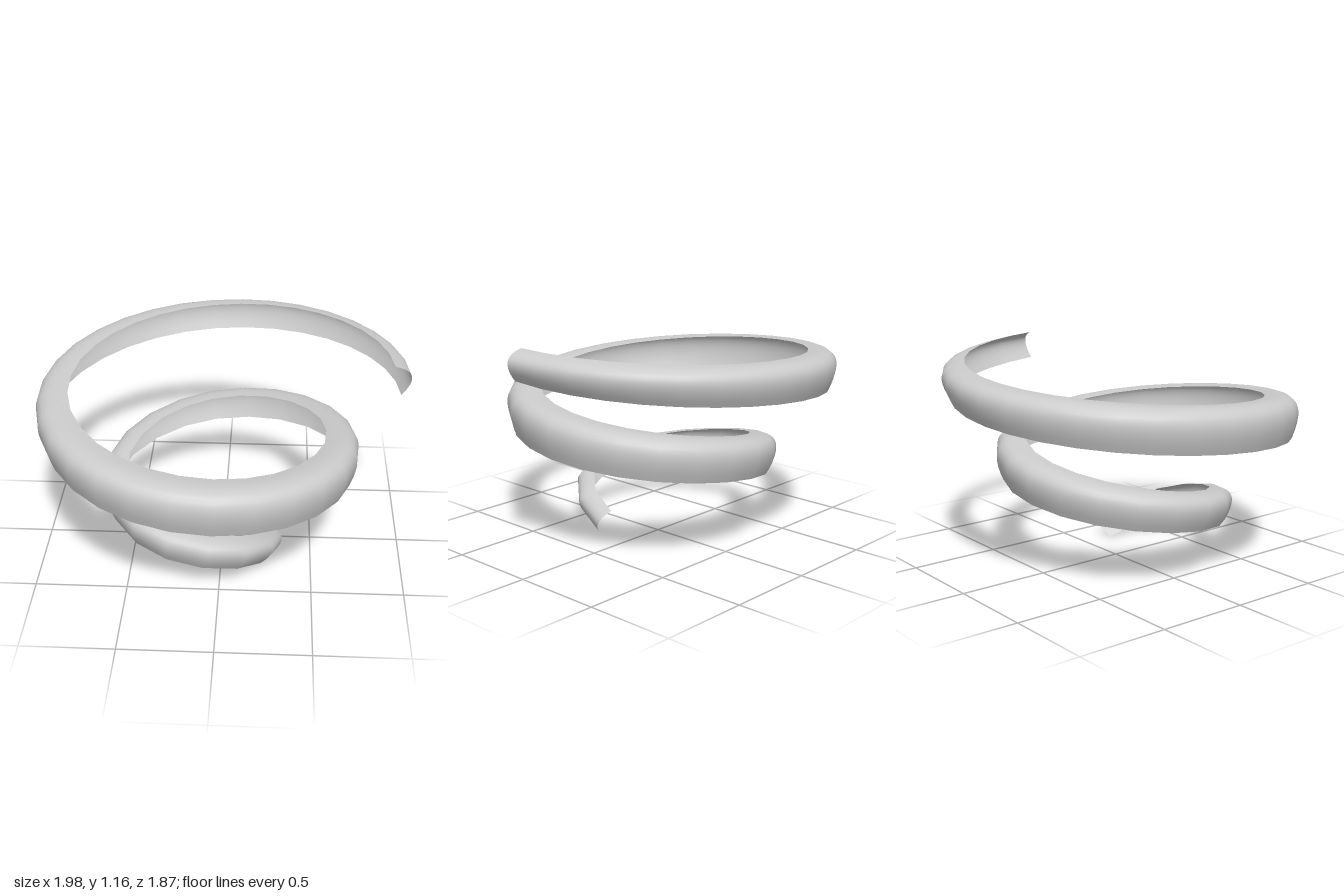
import * as THREE from 'three';

const SEGMENTS = 48;      // along the spiral
const ARC = 12;           // across the curved section
const CENTRE = new THREE.Vector3(-0.054, 0, 0.05);

// One key per quarter turn: spiral radius, height, section tilt (radians)
const keys = new THREE.CatmullRomCurve3([
  [0.31, 0.037, -0.03], [0.4525, 0.257, 0.4], [0.5285, 0.378, 0.44],
  [0.603, 0.525, 0.52], [0.6865, 0.655, 0.58], [0.775, 0.77, 0.6],
  [0.8435, 0.88, 0.56], [0.905, 0.985, 0.46], [0.973, 1.08, 0.24],
].map((k) => new THREE.Vector3(...k)), false, 'catmullrom');

// Point on the spiral centre line, u = 0..1 over two turns
function spinePoint(u) {
  const k = keys.getPoint(u);
  const angle = u * 4 * Math.PI + 0.03;
  return new THREE.Vector3(k.x * Math.cos(angle), k.y, k.x * Math.sin(angle)).add(CENTRE);
}

// Turn parameter that spaces the sections evenly along the length
function evenParameter(t) {
  const s = THREE.MathUtils.lerp(0.007, 0.665, t);
  return Math.min(1, (-0.345 + Math.sqrt(0.119 + 1.28 * s)) / 0.64);
}

// Section bulging outward, fuller near its top, for a half height of 1
const section = new THREE.QuadraticBezierCurve(
  new THREE.Vector2(0, -1), new THREE.Vector2(1.74, 0.24), new THREE.Vector2(0, 1),
).getPoints(ARC);

function spiralBandGeometry() {
  const positions = [];
  const indices = [];
  const up = new THREE.Vector3(0, 1, 0);
  for (let i = 0; i <= SEGMENTS; i++) {
    const t = i / SEGMENTS;
    const u = evenParameter(t);
    const centre = spinePoint(u);
    const tilt = keys.getPoint(u).z;

    // Section frame square to the path
    const tangent = spinePoint(Math.min(1, u + 0.002))
      .sub(spinePoint(Math.max(0, u - 0.002))).normalize();
    const out = up.clone().cross(tangent).normalize();
    const rise = tangent.clone().cross(out);
    const outDir = out.clone().multiplyScalar(Math.cos(tilt)).addScaledVector(rise, Math.sin(tilt));
    const upDir = rise.clone().multiplyScalar(Math.cos(tilt)).addScaledVector(out, -Math.sin(tilt));

    // Open on the inside, largest in the middle of the band
    const halfHeight = 0.083 + 0.055 * Math.sin(Math.PI * t);
    for (const q of section) {
      const p = centre.clone()
        .addScaledVector(outDir, halfHeight * q.x)
        .addScaledVector(upDir, halfHeight * q.y);
      positions.push(p.x, p.y, p.z);
    }
  }
  const row = ARC + 1;
  for (let i = 0; i < SEGMENTS; i++) {
    for (let j = 0; j < ARC; j++) {
      const a = i * row + j;
      const b = a + row;
      indices.push(a, a + 1, b, a + 1, b + 1, b);
    }
  }
  const geometry = new THREE.BufferGeometry();
  geometry.setAttribute('position', new THREE.Float32BufferAttribute(positions, 3));
  geometry.setIndex(indices);
  geometry.computeVertexNormals();
  return geometry;
}

export function createModel() {
  const group = new THREE.Group();
  group.name = 'spiral';
  const material = new THREE.MeshStandardMaterial({ color: 0xcccccc, side: THREE.DoubleSide });
  const band = new THREE.Mesh(spiralBandGeometry(), material);
  band.name = 'spiralBand';
  group.add(band);
  return group;
}
